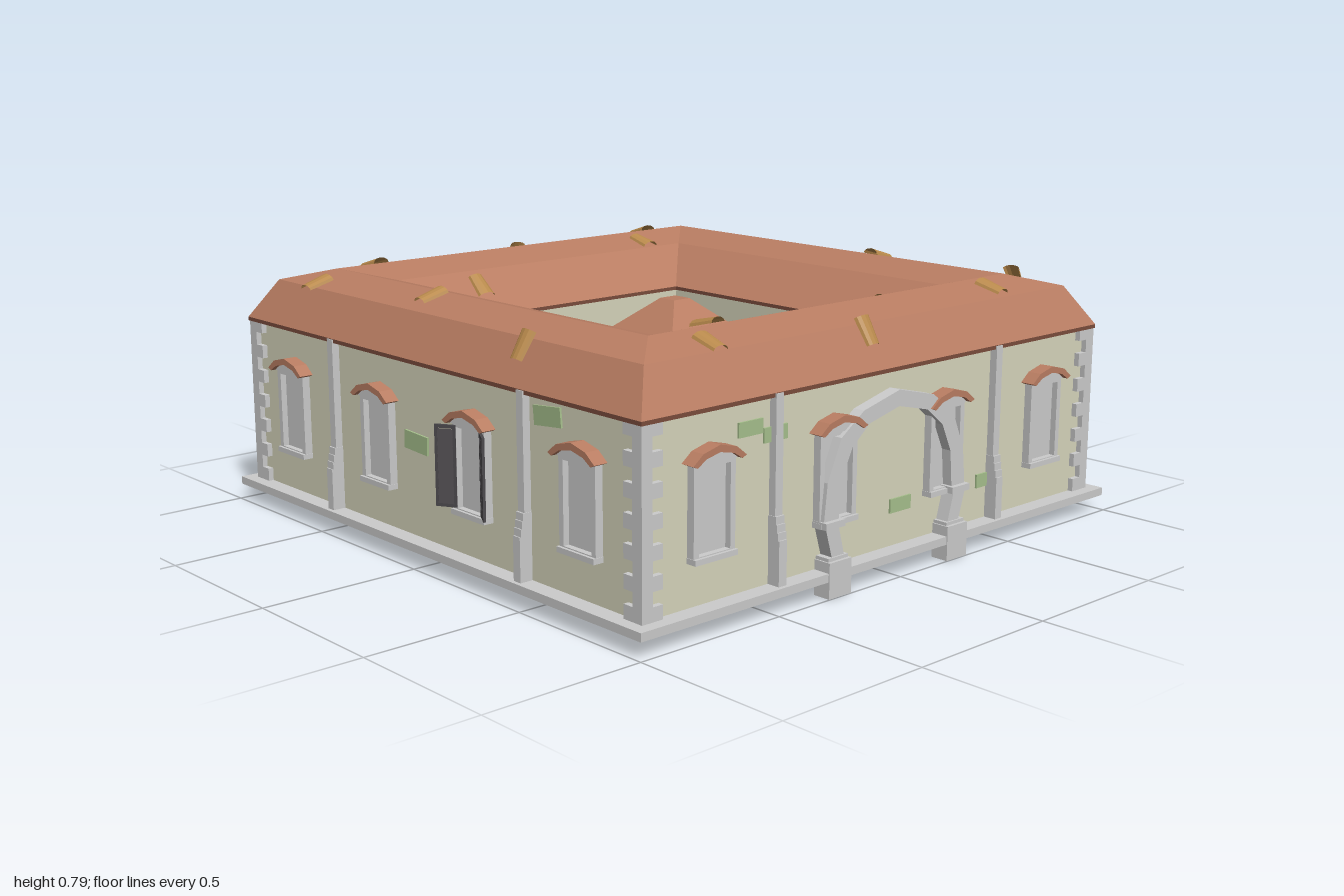
import * as THREE from 'three';

const mat = (color, side = THREE.FrontSide) =>
  new THREE.MeshStandardMaterial({ color, side, flatShading: true });
const STONE = mat(0xcccccc), WALL = mat(0xd6d5bb), ROOF = mat(0xb97d62, THREE.DoubleSide);
const TILE = mat(0xb98a4c, THREE.DoubleSide), DARK = mat(0x4b484c), MOSS = mat(0xa6bf8c);
const TRIM = mat(0x7a4c3c, THREE.DoubleSide);
const WALL_R = 0.94, COURT_R = 0.475, FLOOR = 0.075, EAVE = 0.612;

function add(parent, name, geometry, material, x = 0, y = 0, z = 0) {
  const mesh = new THREE.Mesh(geometry, material);
  mesh.name = name;
  mesh.position.set(x, y, z);
  parent.add(mesh);
  return mesh;
}

function group(parent, name, x = 0, y = 0, z = 0, turn = 0) {
  const g = new THREE.Group();
  g.name = name;
  g.position.set(x, y, z);
  g.rotation.y = turn;
  parent.add(g);
  return g;
}

// box given by its centre x, bottom y, back z
const block = (parent, name, m, w, h, d, x, y, z) =>
  add(parent, name, new THREE.BoxGeometry(w, h, d), m, x, y + h / 2, z + d / 2);

// four-sided shell from a profile of [half width, height]
function squareShell(profile) {
  const pts = profile.map(([r, y]) => new THREE.Vector2(r * Math.SQRT2, y));
  const g = new THREE.LatheGeometry(pts, 4, Math.PI / 4).toNonIndexed();
  g.computeVertexNormals();
  return g;
}

function extrude(points, depth, hole) {
  const shape = new THREE.Shape(points.map(p => new THREE.Vector2(...p)));
  if (hole) shape.holes.push(new THREE.Path(hole.map(p => new THREE.Vector2(...p))));
  return new THREE.ExtrudeGeometry(shape, { depth, bevelEnabled: false });
}

const mirrored = half => [...half, ...half.filter(p => p[0] !== 0).reverse().map(([x, y]) => [-x, y])];
const rect = (w, y0, y1) => [[-w, y0], [w, y0], [w, y1], [-w, y1]];

// one louvred shutter, hinged at its local x = 0
function addShutter(parent, x, dir, turn, z) {
  const s = group(parent, 'shutter', x, 0, z, turn);
  add(s, 'shutterFrame', extrude(rect(0.032, 0.22, 0.46), 0.008, rect(0.024, 0.23, 0.45)), DARK, dir * 0.032);
  for (let i = 0; i < 9; i++) {
    const slat = block(s, 'shutterSlat', DARK, 0.05, 0.026, 0.003, dir * 0.032, 0.229 + i * 0.024, 0.003);
    slat.rotation.x = -0.2;
  }
}

const frameGeo = extrude(rect(0.075, 0.2, 0.47), 0.025, rect(0.057, 0.218, 0.455));
const hoodGeo = extrude([...[[-0.096, 0.472], [-0.06, 0.5], [0, 0.515], [0.06, 0.5], [0.096, 0.472]].reverse(),
  [-0.08, 0.465], [-0.05, 0.484], [0, 0.495], [0.05, 0.484], [0.08, 0.465]], 0.045);
const lintelGeo = extrude([[-0.078, 0.465], [0.078, 0.465], [0.05, 0.486], [0, 0.497], [-0.05, 0.486]], 0.03);

function addWindow(parent, x, shutters) {
  const w = group(parent, 'window', x, 0, WALL_R);
  add(w, 'windowFrame', frameGeo, STONE);
  block(w, 'windowPane', STONE, 0.12, 0.24, 0.006, 0, 0.217, 0);
  block(w, 'windowSill', STONE, 0.154, 0.016, 0.034, 0, 0.199, 0);
  add(w, 'windowLintel', lintelGeo, STONE);
  add(w, 'windowHood', hoodGeo, ROOF);
  for (const s of [-1, 1]) {
    if (shutters === 'open') addShutter(w, s * 0.06, s, -s * 0.52, 0.022);
    if (shutters === 'closed') addShutter(w, s * 0.064, -s, 0, 0.018);
  }
}

// stone gateway: feet, slanted legs and a faceted arch
function addArch(parent, z, bottom, depth) {
  const a = group(parent, 'gateway', 0, 0, z);
  for (const s of [-1, 1]) {
    block(a, 'gatewayFoot', STONE, 0.09, 0.105 - bottom, depth, s * 0.255, bottom, 0);
    block(a, 'gatewayFootTop', STONE, 0.08, 0.015, depth - 0.01, s * 0.255, 0.1, 0);
    const leg = [[0.225, 0.11], [0.275, 0.11], [0.302, 0.2], [0.25, 0.2]].map(([x, y]) => [s * x, y]);
    add(a, 'gatewayLeg', extrude(leg, depth - 0.015), STONE);
    block(a, 'gatewayCapital', STONE, 0.078, 0.02, depth - 0.005, s * 0.272, 0.2, 0);
  }
  const outer = mirrored([[0.305, 0.22], [0.293, 0.33], [0.24, 0.45], [0.15, 0.513], [0, 0.55]]);
  const inner = mirrored([[0.245, 0.22], [0.235, 0.33], [0.195, 0.415], [0.125, 0.472], [0, 0.502]]);
  add(a, 'gatewayArch', extrude([...outer, ...inner.reverse()], depth - 0.02), STONE);
}

// round-headed door with a stone surround
function addDoor(parent, w, h) {
  const round = (r, top, y0) => {
    const pts = [[r, y0]];
    for (let i = 0; i <= 8; i++) {
      const t = (i / 8) * Math.PI;
      pts.push([r * Math.cos(t), top - r + r * Math.sin(t)]);
    }
    return [...pts, [-r, y0]];
  };
  add(parent, 'doorSurround', extrude(round(w, h, FLOOR), 0.02, round(w * 0.75, h - w * 0.25, FLOOR + 0.005)), STONE);
  add(parent, 'doorLeaf', extrude(round(w * 0.78, h - w * 0.22, FLOOR), 0.006), DARK);
}

function addPilaster(parent, x) {
  const p = group(parent, 'pilaster', x, 0, WALL_R);
  block(p, 'pilasterShaft', STONE, 0.028, 0.535, 0.024, 0, FLOOR, 0);
  block(p, 'pilasterBase', STONE, 0.03, 0.13, 0.042, 0, FLOOR, 0);
  for (let i = 0; i < 3; i++)
    block(p, 'pilasterStep', STONE, 0.032, 0.022, 0.038 - i * 0.004, 0, 0.205 + i * 0.022, 0);
}

export function createModel() {
  const model = new THREE.Group();
  model.name = 'courtyardHouse';

  // plinth, walls and courtyard floor
  block(model, 'plinth', STONE, 1.99, 0.025, 1.99, 0, 0.05, -0.995);
  block(model, 'courtyardFloor', WALL, 0.96, 0.006, 0.96, 0, FLOOR - 0.003, -0.48);
  add(model, 'outerWalls', squareShell([[WALL_R, FLOOR], [WALL_R, EAVE]]), WALL);
  add(model, 'courtyardWalls', squareShell([[COURT_R, EAVE], [COURT_R, FLOOR]]), WALL);

  // ring roof with a bent slope on both sides of the ridge
  const slope = [[0.96, EAVE], [0.885, 0.735], [0.75, 0.772], [0.61, 0.735], [0.457, EAVE]];
  add(model, 'roof', squareShell(slope), ROOF);
  add(model, 'outerEave', squareShell([[0.935, 0.6], [0.96, 0.6], [0.96, EAVE]]), TRIM);
  add(model, 'innerEave', squareShell([[0.457, EAVE], [0.457, 0.6], [0.48, 0.6]]), TRIM);

  // loose tiles lying along the slopes
  const tileGeo = new THREE.CylinderGeometry(0.03, 0.025, 0.088, 6, 1, true, -Math.PI / 2, Math.PI)
    .rotateX(-Math.PI / 2).scale(1, 0.6, 1);
  const tiles = [[-0.41, -0.93], [0.16, -0.83], [0.69, -0.89], [-0.85, -0.64], [-0.65, -0.47], [0.83, -0.59],
    [0.55, -0.36], [-0.9, -0.08], [0.9, 0.06], [-0.55, 0.33], [0.65, 0.44], [-0.83, 0.56], [0.85, 0.62],
    [-0.16, 0.8], [-0.68, 0.87], [0.41, 0.9]];
  tiles.forEach(([x, z], i) => {
    const alongX = Math.abs(x) > Math.abs(z);
    const r = Math.max(Math.abs(x), Math.abs(z));
    const k = slope.findIndex((p, j) => j > 0 && r >= p[0]);
    const [[r0, y0], [r1, y1]] = [slope[k - 1], slope[k]];
    const m = (y1 - y0) / (r1 - r0);
    const tile = add(model, 'looseTile', tileGeo, TILE, x, y0 + m * (r - r0) + 0.004, z);
    const turn = alongX ? Math.sign(x) * Math.PI / 2 : (z > 0 ? 0 : Math.PI);
    tile.rotation.set(-Math.atan(m), turn + ((i % 3) - 1) * 0.06, 0, 'YXZ');
  });

  // four facades; each is built facing +z and turned into place
  const sides = [
    { name: 'front', turn: 0, shutters: { 2: 'open' }, moss: [[0.565, 0.55, 0.1], [-0.05, 0.36, -0.05]] },
    { name: 'left', turn: Math.PI / 2, arch: true, shutters: {},
      moss: [[-0.56, 0.53, 0], [-0.465, 0.5, 0], [0.055, 0.2, 0], [0.45, 0.2, 0]] },
    { name: 'back', turn: Math.PI, shutters: {}, moss: [[0.59, 0.55, 0.08], [-0.03, 0.36, -0.05]] },
    { name: 'right', turn: -Math.PI / 2, shutters: { 0: 'open', 1: 'closed' },
      moss: [[-0.05, 0.48, 0], [0.06, 0.52, 0]] },
  ];
  for (const side of sides) {
    const f = group(model, side.name + 'Facade', 0, 0, 0, side.turn);
    [-0.71, -0.235, 0.235, 0.71].forEach((x, i) => addWindow(f, x, side.shutters[i]));
    for (const s of [-1, 1]) {
      addPilaster(f, s * 0.47);
      // corner stones, alternately long and short
      for (let i = 0; i < 13; i++) {
        const w = i % 2 ? 0.037 : 0.072;
        block(f, 'cornerStone', STONE, w, 0.041, 0.018, s * (0.957 - w / 2), FLOOR + i * 0.041, WALL_R - 0.001);
      }
    }
    for (const [x, y, tilt] of side.moss)
      block(f, 'mossPatch', MOSS, side.arch ? 0.09 : 0.115, side.arch ? 0.042 : 0.055, 0.008, x, y - 0.025, WALL_R - 0.002)
        .rotation.z = tilt;
    if (side.arch) addArch(f, WALL_R, 0, 0.058);
  }

  // courtyard side of the gateway, and a door
  addArch(group(model, 'innerGateway', COURT_R, 0, 0, -Math.PI / 2), 0, FLOOR, 0.045);
  addDoor(group(model, 'courtyardDoor', 0.27, 0, COURT_R, Math.PI), 0.085, 0.41);

  // small tower in the courtyard corner
  const tower = group(model, 'tower', -0.275, 0, -0.285);
  block(tower, 'towerWalls', WALL, 0.38, 0.39, 0.37, 0, FLOOR, -0.185);
  add(tower, 'towerRoof', squareShell([[0.185, 0.455], [0.205, 0.455], [0.205, 0.468], [0.035, 0.615], [0, 0.615]]), ROOF);
  addDoor(group(tower, 'towerFrontDoor', -0.06, 0, 0.185), 0.05, 0.27);
  addDoor(group(tower, 'towerSideDoor', 0.19, 0, -0.065, Math.PI / 2), 0.05, 0.27);
  return model;
}
